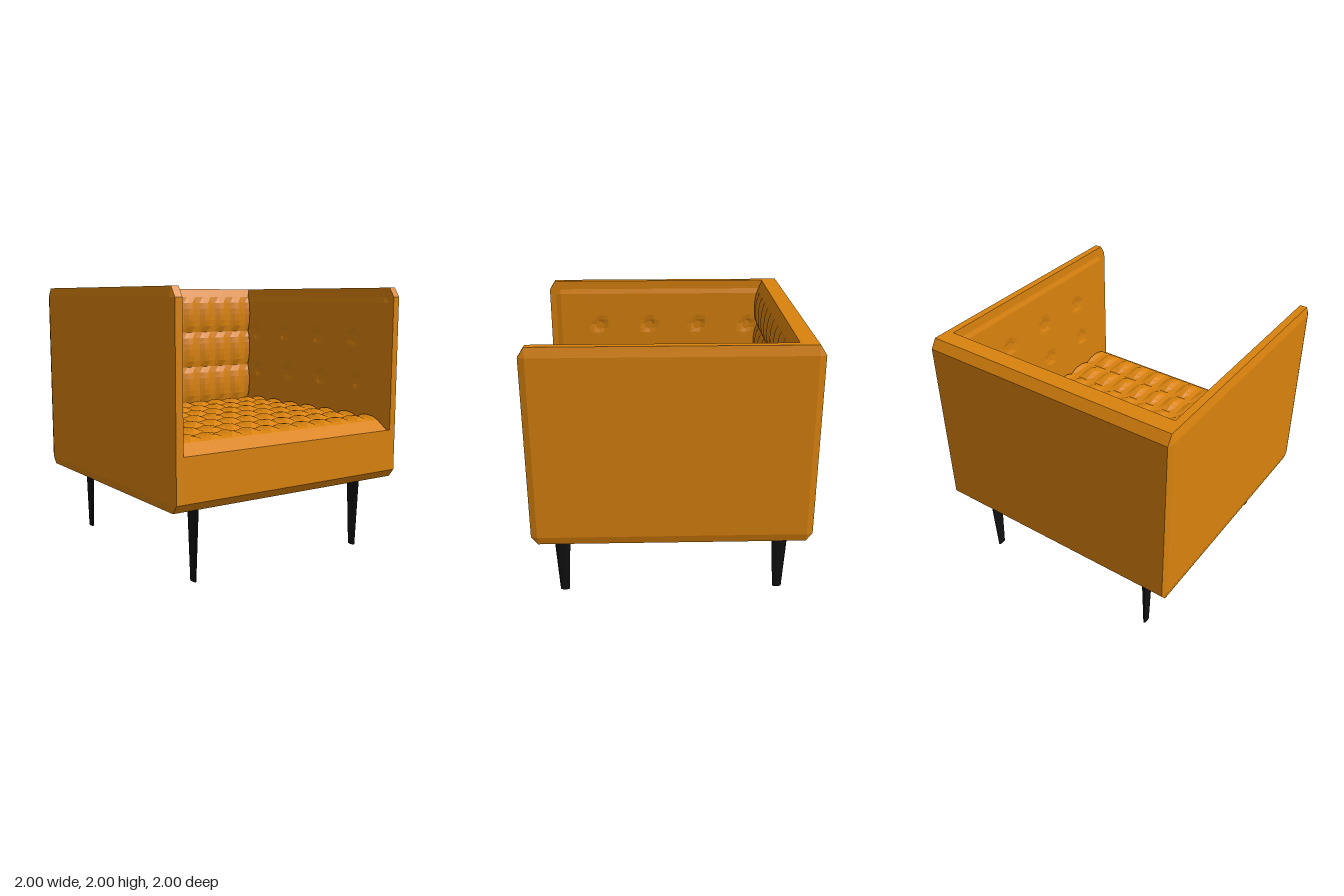
import * as THREE from 'three';
import { ConvexGeometry } from 'three/addons/geometries/ConvexGeometry.js';

const fabric = new THREE.MeshStandardMaterial({ color: 0xd9820d, flatShading: true });
const black = new THREE.MeshStandardMaterial({ color: 0x111111, flatShading: true });

function part(name, geometry, material = fabric) {
  const mesh = new THREE.Mesh(geometry, material);
  mesh.name = name;
  return mesh;
}

// Grid lines: a flat outer edge, then an even division between the inner limits.
function lines(outer0, inner0, inner1, outer1, n) {
  const list = [outer0];
  for (let i = 0; i <= n; i++) list.push(inner0 + (inner1 - inner0) * i / n);
  list.push(outer1);
  return list;
}

// Cushion in the local xy plane, raised along z by height(x, y); its rim stays at 0.
function cushion(xs, ys, height) {
  const nx = xs.length - 1, ny = ys.length - 1;
  const geo = new THREE.PlaneGeometry(1, 1, nx, ny);
  const pos = geo.attributes.position;
  for (let j = 0; j <= ny; j++) {
    for (let i = 0; i <= nx; i++) {
      const x = xs[i], y = ys[ny - j];
      const rim = i === 0 || j === 0 || i === nx || j === ny;
      pos.setXYZ(j * (nx + 1) + i, x, y, rim ? 0 : height(x, y));
    }
  }
  return geo;
}

// Rows of pleated tufts: narrow ridges across x, pinched between rows along y.
function pleats(base, amp, y0, y1, rows) {
  return (x, y) => {
    const row = Math.abs(Math.sin(Math.PI * rows * (y - y0) / (y1 - y0)));
    const ridge = 0.5 + 0.5 * Math.cos(2 * Math.PI * (x - 0.08) / 0.169);
    return base + amp * Math.pow(row, 0.6) * (0.25 + 0.75 * ridge);
  };
}

// Arm: eight-sided side outline with a narrow bevel on the outside.
function armGeometry(side) {
  const pts = [];
  for (const z of [-1, 1]) {
    for (const x of [0.93, 0.985]) {
      for (const [pz, py] of [[1, 0.605], [1, 1.93], [0.955, 2], [0.955, 0.545]]) {
        pts.push(new THREE.Vector3(side * x, py, z * pz));
      }
    }
    for (const y of [0.605, 1.93]) pts.push(new THREE.Vector3(side, y, z * 0.955));
  }
  return new ConvexGeometry(pts);
}

export function createModel() {
  const chair = new THREE.Group();
  chair.name = 'armchair';

  // Seat base and backrest as one L-shaped section swept across the width
  const profile = new THREE.Shape([
    [-0.955, 0.545], [0.955, 0.545], [1, 0.605], [1, 0.92],
    [-0.83, 0.92], [-0.83, 2], [-0.955, 2], [-1, 1.93], [-1, 0.605],
  ].map(([z, y]) => new THREE.Vector2(-z, y)));
  const frame = new THREE.ExtrudeGeometry(profile, { depth: 1.86, bevelEnabled: false });
  frame.translate(0, 0, -0.93).rotateY(Math.PI / 2);
  chair.add(part('seatAndBackFrame', frame));

  // Tufted seat cushion
  const across = lines(-0.93, -0.9, 0.9, 0.93, 43);
  const seat = part('seatCushion', cushion(
    across, lines(-1, -0.9, 0.73, 0.83, 28), pleats(0.068, 0.035, -0.9, 0.73, 7)));
  seat.rotation.x = -Math.PI / 2;
  seat.position.y = 0.92;
  chair.add(seat);

  // Tufted back cushion
  const back = part('backCushion', cushion(
    across, lines(0.92, 0.99, 1.93, 2, 18), pleats(0.03, 0.035, 0.99, 1.93, 3)));
  back.position.z = -0.83;
  chair.add(back);

  for (const side of [1, -1]) {
    const label = side > 0 ? 'left' : 'right';
    chair.add(part(label + 'Arm', armGeometry(side)));

    // Shallow inner arm lining with two rows of button dimples
    const buttons = [];
    for (let i = 0; i < 4; i++) {
      const z = 0.63 - i * 0.43;
      buttons.push([z, 1.27], [z - 0.05, 1.61]);
    }
    const lining = part(label + 'ArmLining', cushion(
      lines(-0.95, -0.91, 0.79, 0.83, 42), lines(0.93, 0.97, 1.89, 1.93, 24),
      (u, y) => {
        const z = -side * u * side;
        let h = 0.01;
        for (const [bz, by] of buttons) {
          const d = Math.hypot(z - bz, y - by) / 0.07;
          h -= 0.022 * Math.max(0, 1 - d);
        }
        return h;
      }));
    if (side < 0) {
      lining.rotation.y = Math.PI / 2;   // faces +x, local x runs to -z
    } else {
      // mirrored so local x still runs to -z while the lining faces -x
      lining.rotation.y = Math.PI / 2;
      lining.scale.z = -1;
    }
    lining.position.x = side * 0.93;
    chair.add(lining);

    // Tapered flat legs
    for (const end of [1, -1]) {
      const geo = new THREE.CylinderGeometry(0.065, 0.034, 0.56, 12);
      geo.scale(0.35, 1, 1);
      const leg = part((end > 0 ? 'front' : 'back') + (side > 0 ? 'Left' : 'Right') + 'Leg', geo, black);
      leg.position.set(side * 0.74, 0.28, end * 0.81);
      chair.add(leg);
    }
  }
  return chair;
}
